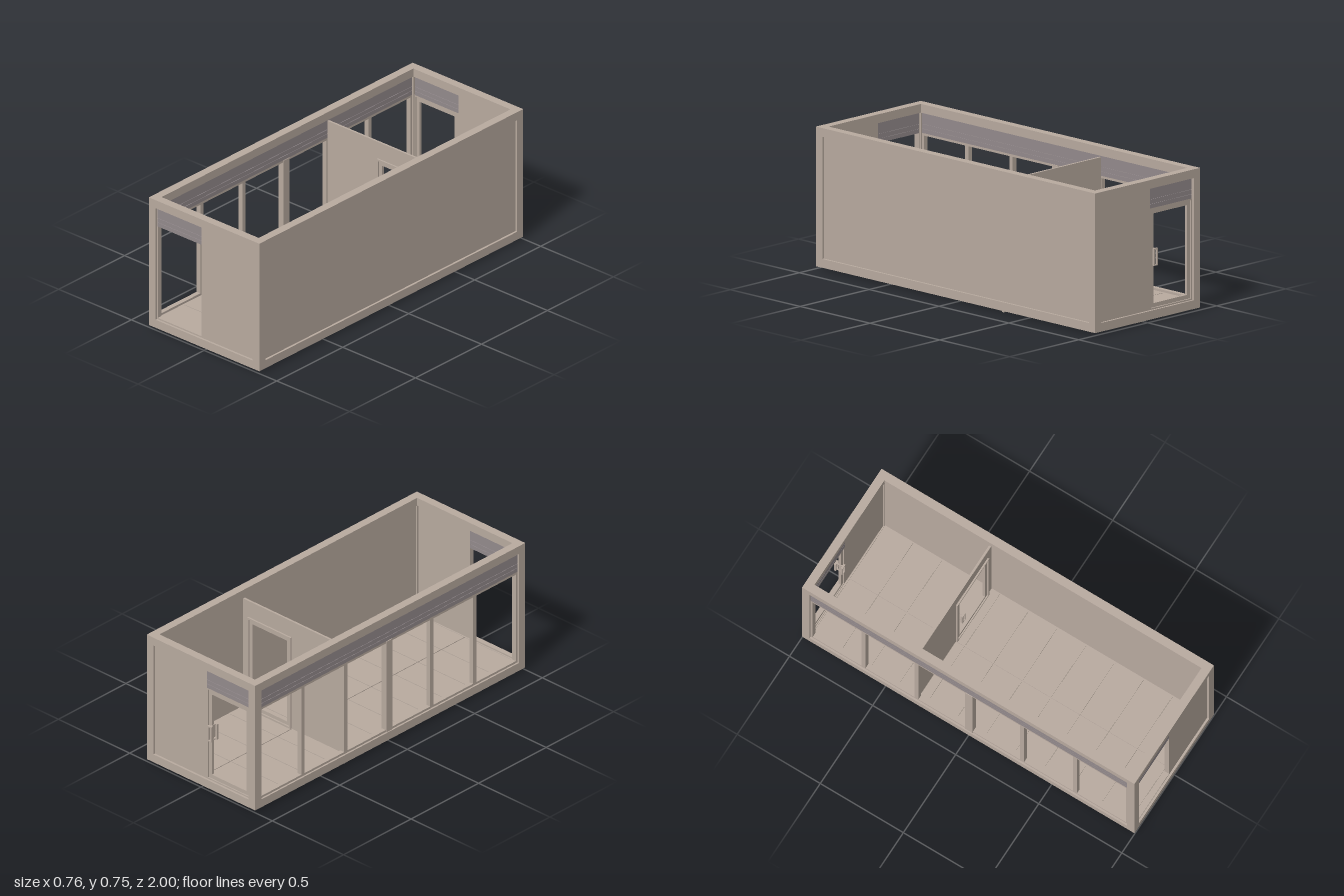
import * as THREE from 'three';

const beige = new THREE.MeshStandardMaterial({ color: 0xb8aa9f });
beige.name = 'beige';
const mauve = new THREE.MeshStandardMaterial({ color: 0x938a8c });
mauve.name = 'mauve';

// Box given by its limits on each axis
function block(parent, name, [x0, x1], [y0, y1], [z0, z1], material = beige) {
  const mesh = new THREE.Mesh(new THREE.BoxGeometry(x1 - x0, y1 - y0, z1 - z0), material);
  mesh.position.set((x0 + x1) / 2, (y0 + y1) / 2, (z0 + z1) / 2);
  mesh.name = name;
  parent.add(mesh);
  return mesh;
}

// Upright rectangular frame with an open middle; u runs along x, or along z when alongZ is set
function frame(parent, name, [u0, u1], [y0, y1], [d0, d1], w, alongZ = false) {
  const rect = (T, a, b, c, d) => {
    const r = new T();
    r.moveTo(a, c).lineTo(b, c).lineTo(b, d).lineTo(a, d).closePath();
    return r;
  };
  const s = alongZ ? -1 : 1;
  const [a, b] = alongZ ? [-u1, -u0] : [u0, u1];
  const shape = rect(THREE.Shape, a, b, y0, y1);
  shape.holes.push(rect(THREE.Path, a + w, b - w, y0 + w, y1 - w));
  const geo = new THREE.ExtrudeGeometry(shape, { depth: d1 - d0, bevelEnabled: false });
  geo.translate(0, 0, d0);
  if (s < 0) geo.rotateY(Math.PI / 2);
  const mesh = new THREE.Mesh(geo, beige);
  mesh.name = name;
  parent.add(mesh);
}

// Shutter box made of three slats with fine gaps and a core behind them
function shutter(parent, name, u, d, alongZ = false) {
  const g = new THREE.Group();
  g.name = name;
  const put = (part, y, depth) =>
    alongZ ? block(g, part, depth, y, u, mauve) : block(g, part, u, y, depth, mauve);
  for (const y of [[0.592, 0.614], [0.616, 0.639], [0.641, 0.7]]) put('slat', y, d);
  put('shutterCore', [0.594, 0.698], [d[0] + 0.003, d[1] - 0.003]);
  parent.add(g);
}

// Square pull handle on both faces of a door
function handles(parent, x, z, reach) {
  for (const s of [-1, 1]) {
    const near = z + s * reach * 0.55, far = z + s * reach;
    frame(parent, 'doorHandle', [x - 0.014, x + 0.014], [0.29, 0.38],
      [Math.min(near, far), Math.max(near, far)], 0.006);
    for (const y of [0.293, 0.377])
      block(parent, 'handleMount', [x - 0.004, x + 0.004], [y - 0.003, y + 0.003],
        [Math.min(z, near), Math.max(z, near)]);
  }
}

export function createModel() {
  const model = new THREE.Group();
  model.name = 'containerHouse';
  const X = 0.38, Z = 1, B = 0.046, Y0 = 0.013, Y1 = 0.746;

  // Structural frame: posts and perimeter beams
  const structure = new THREE.Group();
  structure.name = 'structure';
  model.add(structure);
  for (const s of [-1, 1]) {
    const xr = s < 0 ? [-X, -X + B] : [X - B, X];
    const zr = s < 0 ? [-Z, -Z + B] : [Z - B, Z];
    for (const y of [[Y0, Y0 + B], [Y1 - B, Y1]]) {
      block(structure, 'longBeam', xr, y, [-Z, Z]);
      block(structure, 'endBeam', [-X + B, X - B], y, zr);
    }
    for (const t of [-1, 1])
      block(structure, 'cornerPost', xr, [Y0 + B, Y1 - B], t < 0 ? [-Z, -Z + B] : [Z - B, Z]);
  }

  // Floor slab, recessed below, with tiles on top
  block(model, 'floorSlab', [-0.335, 0.335], [0.02, 0.054], [-0.955, 0.955]);
  const cuts = [-0.954];
  for (let i = 0; i < 10; i++) cuts.push(-0.781 + i * 0.1735);
  cuts.push(0.954);
  for (let i = 0; i < cuts.length - 1; i++)
    for (const x of [[-0.334, -0.002], [0.002, 0.334]])
      block(model, 'floorTile', x, [0.054, 0.059], [cuts[i] + 0.002, cuts[i + 1] - 0.002]);

  // Solid side wall and half-width end walls
  block(model, 'sideWall', [0.342, 0.368], [0.055, 0.705], [-0.96, 0.96]);
  for (const s of [-1, 1]) {
    const z = s > 0 ? [0.962, 0.988] : [-0.988, -0.962];
    block(model, 'endWall', [-0.03, 0.338], [0.055, 0.702], z);
    shutter(model, 'endShutter', [-0.33, -0.03], z);
  }

  // Front opening trim
  block(model, 'openingSill', [-0.334, -0.03], [0.059, 0.067], [0.962, 0.988]);
  block(model, 'openingJamb', [-0.334, -0.328], [0.067, 0.7], [0.962, 0.988]);

  // Back door
  const backDoor = new THREE.Group();
  backDoor.name = 'backDoor';
  model.add(backDoor);
  frame(backDoor, 'doorFrame', [-0.334, -0.03], [0.059, 0.592], [-0.988, -0.962], 0.008);
  frame(backDoor, 'doorLeaf', [-0.325, -0.039], [0.068, 0.583], [-0.983, -0.967], 0.022);
  handles(backDoor, -0.06, -0.975, 0.026);

  // Glazed long side: six open window bays under a long shutter box
  const bay = 1.908 / 6;
  for (let i = 0; i < 6; i++) {
    const z = -0.954 + i * bay;
    frame(model, 'windowFrame', [z, z + bay], [0.059, 0.592], [-0.37, -0.344], 0.012, true);
  }
  block(model, 'middlePost', [-0.374, -0.34], [0.059, 0.592], [-0.022, 0.022]);
  shutter(model, 'sideShutter', [-0.954, 0.954], [-0.37, -0.344], true);

  // Partition wall around an inner door
  const pz = [-0.326, -0.314];
  block(model, 'partition', [-0.366, 0.01], [0, 0.69], pz);
  block(model, 'partition', [0.3, 0.36], [0, 0.69], pz);
  block(model, 'partitionLintel', [0.01, 0.3], [0.59, 0.69], pz);
  const innerDoor = new THREE.Group();
  innerDoor.name = 'innerDoor';
  model.add(innerDoor);
  frame(innerDoor, 'doorFrame', [0.003, 0.306], [0.059, 0.596], [-0.335, -0.305], 0.01);
  frame(innerDoor, 'doorLeaf', [0.014, 0.295], [0.07, 0.585], [-0.328, -0.312], 0.02);
  handles(innerDoor, 0.045, -0.32, 0.028);

  return model;
}
